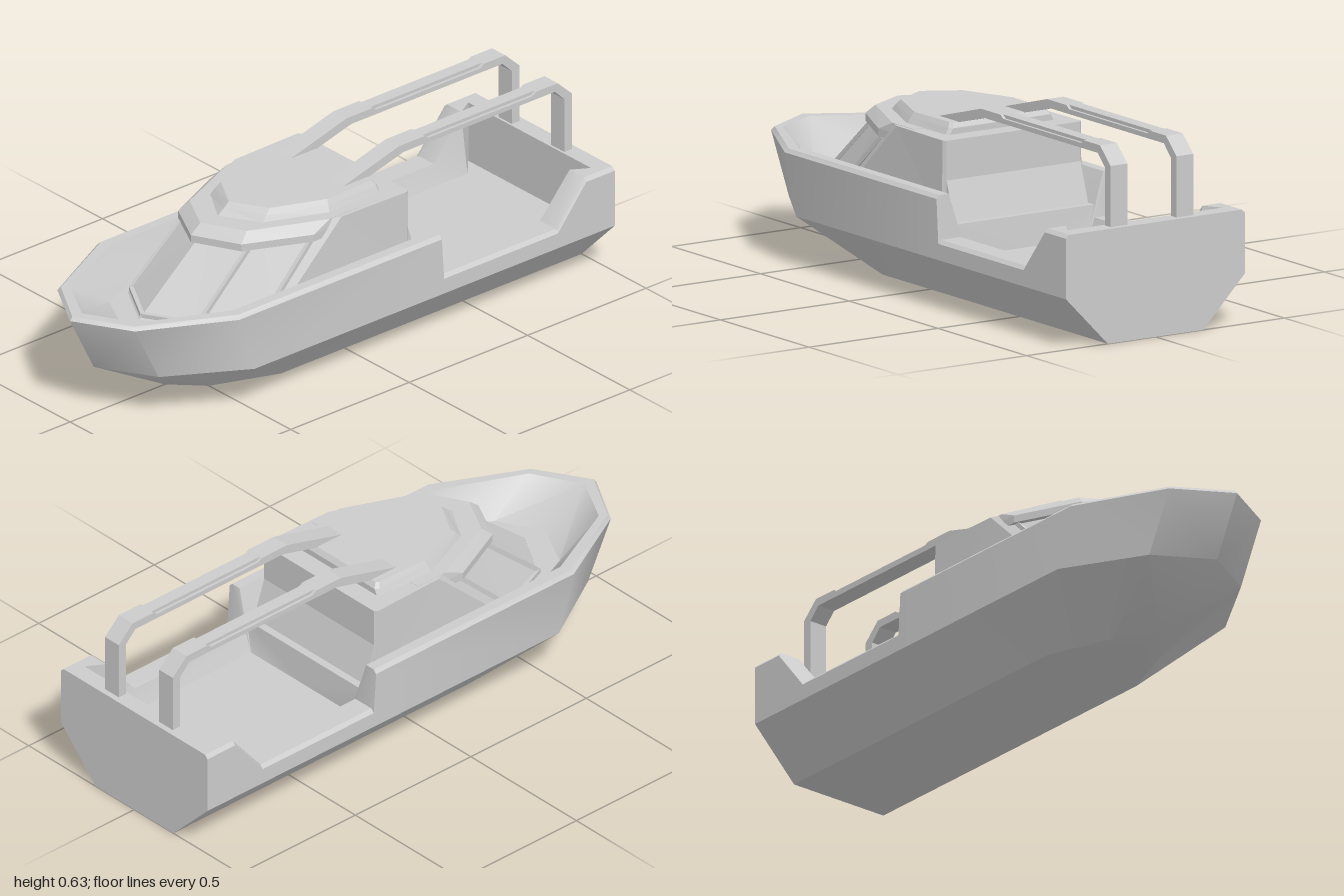
import * as THREE from 'three';
import { toCreasedNormals } from 'three/addons/utils/BufferGeometryUtils.js';

const material = new THREE.MeshStandardMaterial({ color: 0xcccccc });
const V = (p) => new THREE.Vector3(...p);

// Joins cross-sections of half the shape (z >= 0) and mirrors them to -z
function loft(sections, crease) {
  const out = [];
  const tri = (a, b, c) => {
    const area = V(b).sub(V(a)).cross(V(c).sub(V(a))).length();
    if (area < 1e-7) return;
    out.push(...a, ...b, ...c);
    for (const p of [a, c, b]) out.push(p[0], p[1], -p[2]);
  };
  for (let i = 0; i + 1 < sections.length; i++) {
    for (let j = 0; j + 1 < sections[i].length; j++) {
      const a = sections[i][j], b = sections[i + 1][j];
      const c = sections[i + 1][j + 1], d = sections[i][j + 1];
      tri(a, b, c);
      tri(a, c, d);
    }
  }
  const geo = new THREE.BufferGeometry();
  geo.setAttribute('position', new THREE.Float32BufferAttribute(out, 3));
  geo.computeVertexNormals();
  return crease ? toCreasedNormals(geo, crease) : geo;
}

// Stacked half outlines [x, z], listed from the top level down, with a closed top
function tiers(levels) {
  const rows = levels.map(([y, outline]) => outline.map(([x, z]) => [x, y, z]));
  const top = rows[0].map(() => [0, levels[0][0], 0]);
  return loft([top, ...rows]);
}

// Side profile in x, y extruded evenly about a z position
function profile(points, width, z) {
  const shape = new THREE.Shape(points.map(([x, y]) => new THREE.Vector2(x, y)));
  const geo = new THREE.ExtrudeGeometry(shape, { depth: width, bevelEnabled: false });
  return geo.translate(0, 0, z - width / 2);
}

export function createModel() {
  const boat = new THREE.Group();
  boat.name = 'boat';
  const add = (name, geo) => {
    const mesh = new THREE.Mesh(geo, material);
    mesh.name = name;
    boat.add(mesh);
    return mesh;
  };

  // Hull sections: keel, bottom edge, chine, sheer, rail outside, rail inside, deck edge, deck centre
  const station = (x, railY, railZ, deckY, deckZ) => [
    [x, 0, 0], [x, 0, 0.185], [x, 0.165, 0.347], [x, railY - 0.012, 0.347],
    [x, railY, 0.335], [x, railY, railZ], [x, deckY, deckZ], [x, deckY, 0],
  ];
  const bow = [
    [[-0.6, 0, 0], [-0.6, 0, 0], [-0.9, 0.165, 0], [-1, 0.363, 0],
      [-0.99, 0.375, 0], [-0.95, 0.375, 0], [-0.78, 0.27, 0], [-0.78, 0.27, 0]],
    [[-0.5, 0, 0], [-0.5, 0, 0.1], [-0.79, 0.165, 0.19], [-0.89, 0.363, 0.19],
      [-0.883, 0.375, 0.181], [-0.86, 0.375, 0.165], [-0.7, 0.27, 0.155], [-0.7, 0.27, 0]],
    [[-0.27, 0, 0], [-0.27, 0, 0.185], [-0.52, 0.165, 0.347], [-0.585, 0.363, 0.347],
      [-0.58, 0.375, 0.335], [-0.57, 0.375, 0.3], [-0.44, 0.27, 0.265], [-0.44, 0.27, 0]],
  ];
  const hull = [
    ...bow,
    station(0.27, 0.375, 0.3, 0.27, 0.265),
    station(0.28, 0.23, 0.26, 0.165, 0.235),
    station(0.76, 0.23, 0.26, 0.165, 0.235),
    station(0.88, 0.375, 0.265, 0.165, 0.235),
    station(0.94, 0.375, 0.3, 0.165, 0.3),
    station(0.94, 0.375, 0.3, 0.375, 0.3),
    station(1, 0.375, 0.3, 0.375, 0.3),
  ];
  hull.push(hull[0].map(() => [1, 0.2, 0])); // transom
  add('hull', loft(hull, 0.6));

  // Cabin with a raked front
  add('cabin', tiers([
    [0.53, [[-0.4, 0], [-0.32, 0.15], [-0.08, 0.262], [0.19, 0.268], [0.2, 0.26], [0.2, 0]]],
    [0.26, [[-0.72, 0], [-0.625, 0.165], [-0.37, 0.268], [0.19, 0.272], [0.2, 0.262], [0.2, 0]]],
  ]));
  add('cockpitBulkhead', profile([[0.1, 0.4], [0.2, 0.4], [0.28, 0.16], [0.1, 0.16]], 0.52, 0));

  // Brow over the windows
  const brow = [[-0.49, 0], [-0.41, 0.155], [-0.19, 0.255], [0, 0.25], [0, 0]];
  add('windowBrow', tiers([
    [0.531, [[-0.45, 0], [-0.375, 0.14], [-0.12, 0.25], [0, 0.25], [0, 0]]],
    [0.5, brow],
    [0.475, brow],
    [0.47, [[-0.4, 0], [-0.33, 0.12], [-0.15, 0.22], [0, 0.22], [0, 0]]],
  ]));

  // Raised roof
  add('roof', tiers([
    [0.567, [[-0.33, 0], [-0.26, 0.12], [-0.08, 0.192], [0.11, 0.187], [0.12, 0.18], [0.12, 0]]],
    [0.55, [[-0.35, 0], [-0.28, 0.125], [-0.085, 0.203], [0.12, 0.198], [0.132, 0.188], [0.132, 0]]],
    [0.528, [[-0.38, 0], [-0.3, 0.13], [-0.09, 0.216], [0.12, 0.21], [0.132, 0.2], [0.132, 0]]],
  ]));

  // Slim frames around the windscreen and side windows
  const bar = (name, from, to) => {
    const a = V(from), b = V(to);
    const mesh = add(name, new THREE.BoxGeometry(0.014, 0.014, a.distanceTo(b)));
    mesh.position.copy(a).add(b).multiplyScalar(0.5);
    mesh.lookAt(b);
  };
  for (const s of [1, -1]) {
    bar('windscreenSill', [-0.695, 0.282, 0], [-0.6, 0.282, s * 0.164]);
    bar('sideWindowSill', [-0.6, 0.282, s * 0.164], [-0.39, 0.285, s * 0.254]);
    bar('windowPost', [-0.6, 0.282, s * 0.164], [-0.38, 0.475, s * 0.153]);
    bar('rearWindowPost', [-0.39, 0.285, s * 0.254], [-0.19, 0.475, s * 0.239]);
  }

  // Twin arches from the roof back to the transom
  const arch = [
    [0, 0.563], [0.25, 0.632], [0.36, 0.632], [0.375, 0.621], [0.815, 0.621], [0.83, 0.632],
    [0.92, 0.632], [0.98, 0.575], [0.98, 0.37], [0.948, 0.37], [0.948, 0.565],
    [0.908, 0.605], [0.27, 0.605], [0.11, 0.562],
  ];
  for (const s of [1, -1]) {
    add('arch', profile(arch, 0.065, s * 0.128));
    add('archGrip', new THREE.BoxGeometry(0.48, 0.016, 0.045).translate(0.595, 0.624, s * 0.128));
  }
  return boat;
}
